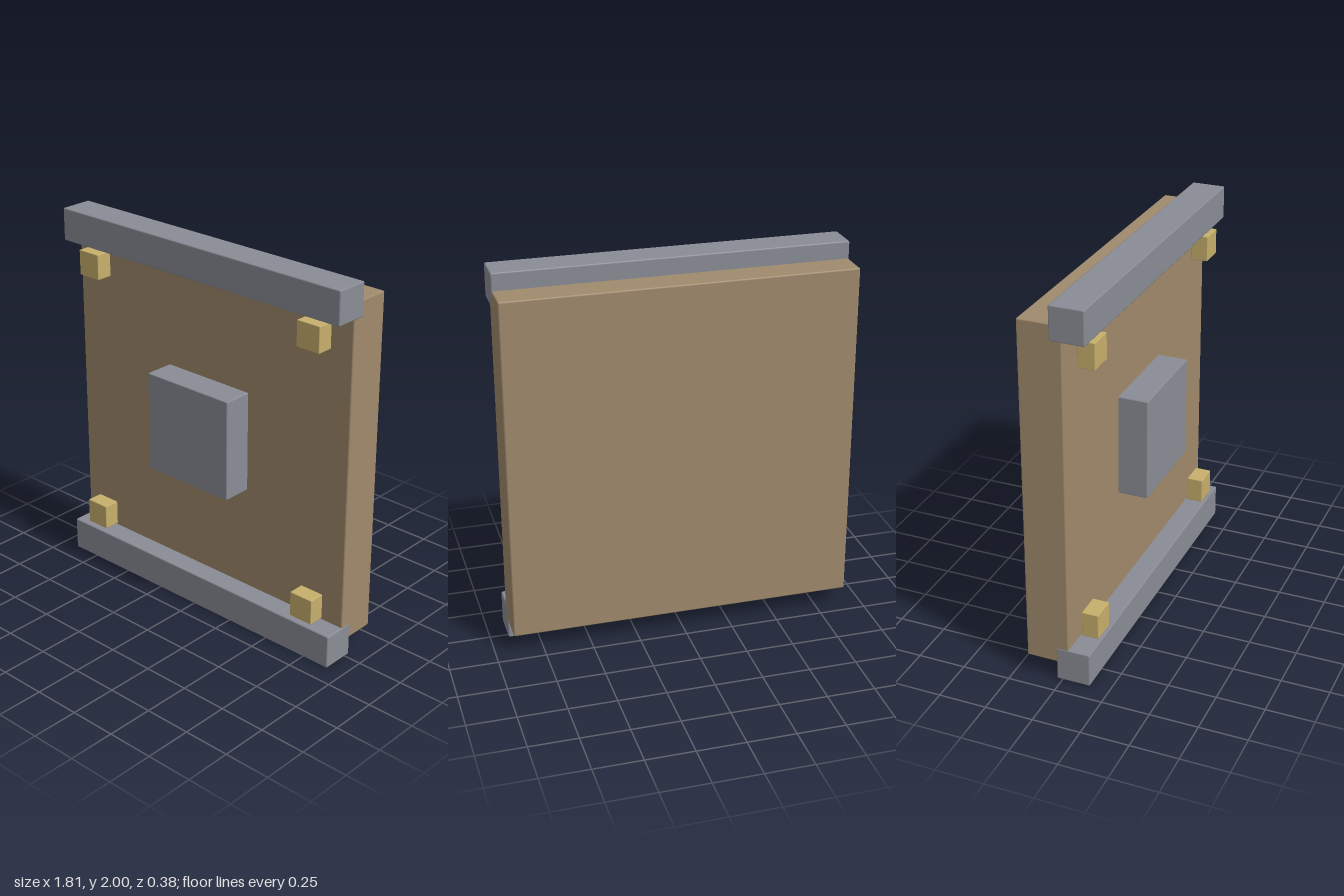
import * as THREE from 'three';
import { RoundedBoxGeometry } from 'three/addons/geometries/RoundedBoxGeometry.js';

export function createModel() {
  const model = new THREE.Group();
  const wood = new THREE.MeshStandardMaterial({ color: 0xa08a6c });
  const metal = new THREE.MeshStandardMaterial({ color: 0x8a8d96 });
  const brass = new THREE.MeshStandardMaterial({ color: 0xc8b06c });

  // Softly bevelled box given by its extents on each axis
  function block(name, material, [x0, x1], [y0, y1], [z0, z1], bevel) {
    const geometry = new RoundedBoxGeometry(x1 - x0, y1 - y0, z1 - z0, 1, bevel);
    const mesh = new THREE.Mesh(geometry, material);
    mesh.position.set((x0 + x1) / 2, (y0 + y1) / 2, (z0 + z1) / 2);
    mesh.name = name;
    model.add(mesh);
  }

  // Main slab
  block('panel', wood, [-0.904, 0.904], [0.098, 1.91], [-0.19, 0.034], 0.008);

  // Rails capping the front at the top and bottom
  block('bottomRail', metal, [-0.906, 0.906], [0, 0.18], [-0.03, 0.147], 0.007);
  block('topRail', metal, [-0.906, 0.906], [1.825, 2], [-0.03, 0.147], 0.007);

  // Raised square in the middle of the front
  block('centerBlock', metal, [-0.27, 0.27], [0.733, 1.274], [0.02, 0.19], 0.006);

  // Corner studs, standing just clear of the panel
  for (const [side, x] of [['left', 0.727], ['right', -0.727]]) {
    for (const [level, y] of [['Bottom', 0.275], ['Top', 1.731]]) {
      block(`${side}${level}Stud`, brass, [x - 0.068, x + 0.068], [y - 0.068, y + 0.068], [0.058, 0.147], 0.004);
    }
  }
  return model;
}
